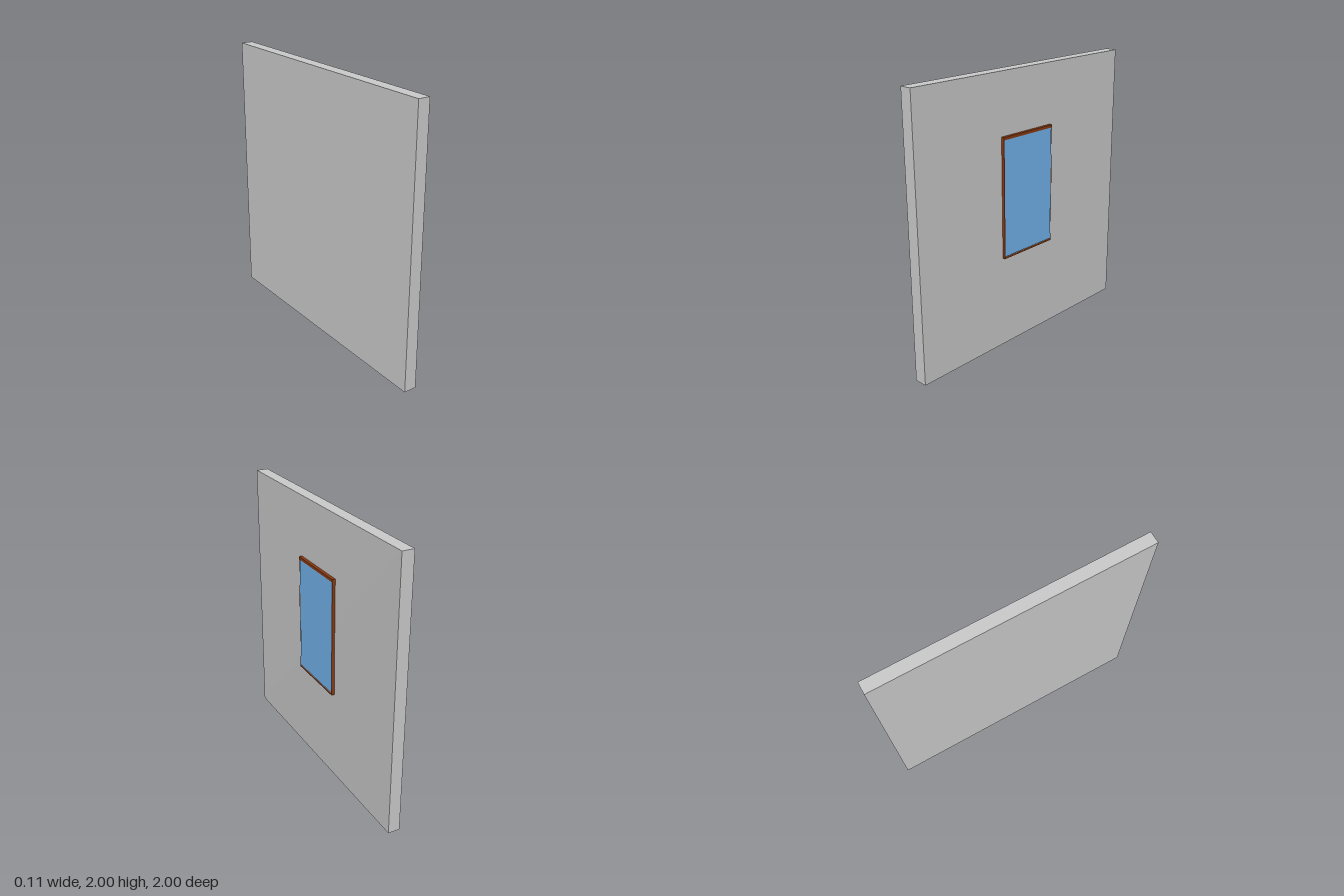
import * as THREE from 'three';

export function createModel() {
  const group = new THREE.Group();
  const add = (name, geometry, color) => {
    const mesh = new THREE.Mesh(geometry, new THREE.MeshStandardMaterial({ color, flatShading: true }));
    mesh.name = name;
    group.add(mesh);
    return mesh;
  };

  // Wall slab, with its lower front corner pulled slightly outward
  const back = -0.057, face = 0.03;
  const slab = new THREE.BoxGeometry(face - back, 2, 2);
  slab.translate((face + back) / 2, 1, 0);
  const p = slab.attributes.position;
  for (let i = 0; i < p.count; i++) {
    if (p.getX(i) > 0 && p.getY(i) < 1 && p.getZ(i) > 0) p.setX(i, 0.037);
  }
  slab.computeVertexNormals();
  add('wall', slab, 0xcccccc);

  // Window frame: an outline with an opening, extruded outward from the wall
  const rect = (path, z0, z1, y0, y1) => {
    path.moveTo(-z0, y0);
    path.lineTo(-z1, y0);
    path.lineTo(-z1, y1);
    path.lineTo(-z0, y1);
    path.closePath();
    return path;
  };
  const outline = rect(new THREE.Shape(), -0.242, 0.246, 0.68, 1.56);
  outline.holes.push(rect(new THREE.Path(), -0.238, 0.241, 0.695, 1.54));
  const frame = new THREE.ExtrudeGeometry(outline, { depth: 0.025, bevelEnabled: false });
  frame.rotateY(Math.PI / 2);
  frame.translate(0.03, 0, 0);
  add('windowFrame', frame, 0x8b3a10);

  // Glass pane, set just behind the rim of the frame
  const pane = add('windowPane', new THREE.BoxGeometry(0.02, 0.845, 0.479), 0x74b6f0);
  pane.position.set(0.042, 1.1175, 0.0015);

  return group;
}
